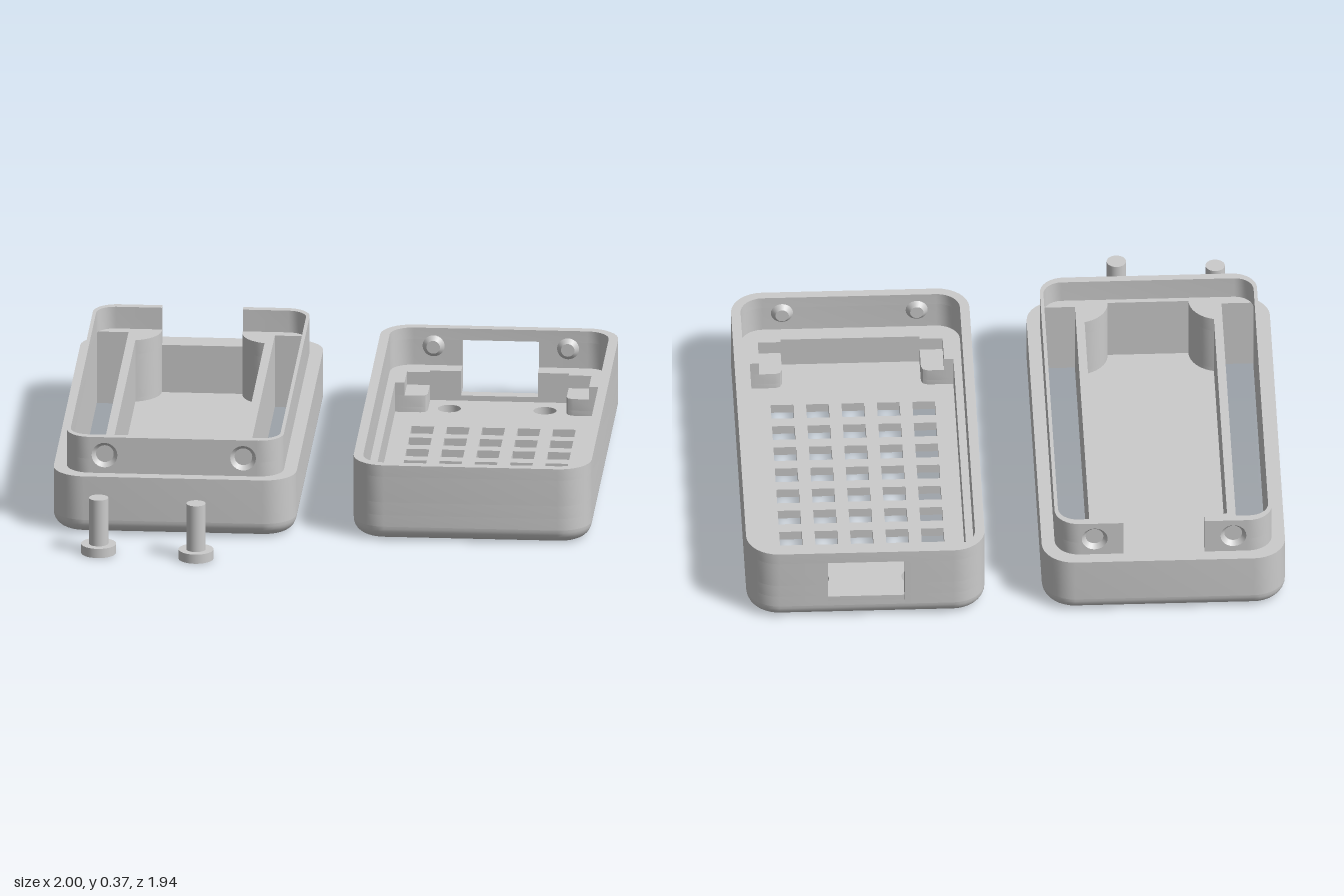
import * as THREE from 'three';
import { toCreasedNormals } from 'three/addons/utils/BufferGeometryUtils.js';

const material = new THREE.MeshStandardMaterial({ color: 0xcccccc });
const openMaterial = new THREE.MeshStandardMaterial({ color: 0xcccccc, side: THREE.DoubleSide });
const BACK = -0.975, FRONT = 0.655, CORNER = 0.12, FILLET = 0.055;

function add(parent, name, geometry, mat = material) {
  const mesh = new THREE.Mesh(geometry, mat);
  mesh.name = name;
  parent.add(mesh);
  return mesh;
}

// Rounded rectangle in x/z, half width w, running from back right round to back left
function roundRect(w, z0, z1, r) {
  const pts = [];
  const centres = [[w - r, z0 + r], [w - r, z1 - r], [r - w, z1 - r], [r - w, z0 + r]];
  centres.forEach(([cx, cz], k) => {
    for (let i = 0; i <= 8; i++) {
      const a = (k - 1 + i / 8) * Math.PI / 2;
      pts.push([cx + r * Math.cos(a), cz + r * Math.sin(a)]);
    }
  });
  return pts;
}

const rect = (x0, x1, z0, z1) => [[x0, z0], [x1, z0], [x1, z1], [x0, z1]];
const circle = (x, z, r) => Array.from({ length: 24 }, (_, i) =>
  [x + r * Math.cos(i * Math.PI / 12), z + r * Math.sin(i * Math.PI / 12)]);

// Completes a contour given for its left half, back to front
const mirrored = (half) => [...half, ...half.map(([x, z]) => [-x, z]).reverse()];

// Wall outline that is open at the back over |x| < gap
const openWall = (outer, gap, zBack, inner) =>
  [[gap, zBack], ...outer, [-gap, zBack], ...inner];

function toShape(points, holes = []) {
  const vec = (list) => list.map(([x, z]) => new THREE.Vector2(x, z));
  const shape = new THREE.Shape(vec(points));
  holes.forEach((h) => shape.holes.push(new THREE.Path(vec(h))));
  return shape;
}

// Horizontal layer between heights y0 and y1
function layer(points, holes, y0, y1) {
  const g = new THREE.ExtrudeGeometry(toShape(points, holes), { depth: y1 - y0, bevelEnabled: false });
  return toCreasedNormals(g.rotateX(Math.PI / 2).translate(0, y1, 0), 0.6);
}

// Rounded lower edge of a shell
function bottomFillet(w) {
  const pos = [], index = [], rows = 8;
  let n = 0;
  for (let j = 0; j <= rows; j++) {
    const a = j / rows * Math.PI / 2;
    const d = FILLET * (1 - Math.sin(a));
    const ring = roundRect(w - d, BACK + d, FRONT - d, CORNER - d);
    n = ring.length;
    ring.forEach(([x, z]) => pos.push(x, FILLET * (1 - Math.cos(a)), z));
  }
  for (let j = 0; j < rows; j++) {
    for (let i = 0; i < n; i++) {
      const a = j * n + i, b = j * n + (i + 1) % n;
      index.push(a, a + n, b, b, a + n, b + n);
    }
  }
  const g = new THREE.BufferGeometry();
  g.setAttribute('position', new THREE.Float32BufferAttribute(pos, 3));
  g.setIndex(index);
  g.computeVertexNormals();
  return g;
}

const insetOutline = (w) =>
  roundRect(w - FILLET, BACK + FILLET, FRONT - FILLET, CORNER - FILLET);

function createTrayHalf() {
  const g = new THREE.Group();
  g.name = 'trayHalf';
  const W = 0.4515, gap = 0.15, lipW = 0.403, lipBack = -0.925, lipFront = 0.61;
  const outer = roundRect(W, BACK, FRONT, CORNER);

  // Tray cavity with a rounded post in each corner
  const arc = Array.from({ length: 11 }, (_, i) => {
    const a = i / 10 * 1.318;
    return [-0.27 + 0.12 * Math.cos(a), 0.12 * Math.sin(a)];
  });
  const cavity = mirrored([
    ...arc.map(([x, z]) => [x, -0.88 + z]),
    ...arc.map(([x, z]) => [x, 0.56 - z]).reverse(),
  ]);
  const slots = [rect(-0.39, -0.272, -0.855, 0.54), rect(0.272, 0.39, -0.855, 0.54)];

  add(g, 'bottomEdge', bottomFillet(W));
  add(g, 'base', layer(insetOutline(W), [...slots, cavity], 0, FILLET));
  add(g, 'trayFloor', layer(cavity, [], 0, 0.04));
  add(g, 'lowerWall', layer(outer, [...slots, cavity], FILLET, 0.225));

  // Raised lip, recessed front and back to take the dimpled panels
  const t = 0.018, px = 0.31;
  const lip = roundRect(lipW, lipBack, lipFront, 0.09);
  const lipOuter = [
    [px, lipBack + t], [px, lipBack], ...lip.slice(0, 18),
    [px, lipFront], [px, lipFront - t], [-px, lipFront - t], [-px, lipFront],
    ...lip.slice(18), [-px, lipBack], [-px, lipBack + t],
  ];
  const rim = roundRect(0.39, -0.895, 0.58, 0.07).reverse();
  const rimInner = [[-gap, -0.895], ...rim, [gap, -0.895]];
  add(g, 'trayLedge', layer(openWall(lipOuter, gap, lipBack + t, cavity), slots, 0.225, 0.28));
  add(g, 'lip', layer(openWall(lipOuter, gap, lipBack + t, rimInner), [], 0.28, 0.365));

  const dimpleX = 0.2575, dimpleY = 0.295;
  const panel = (name, x0, x1, z, xs) => {
    const shape = toShape(rect(x0, x1, 0.225, 0.365), xs.map((x) => circle(x, dimpleY, 0.048)));
    const geo = new THREE.ExtrudeGeometry(shape, { depth: t, bevelEnabled: false });
    add(g, name, toCreasedNormals(geo.translate(0, 0, z), 0.6));
  };
  panel('frontLipPanel', -px, px, lipFront - t, [-dimpleX, dimpleX]);
  panel('backLipTab', -px, -gap, lipBack, [-dimpleX]);
  panel('backLipTab', gap, px, lipBack, [dimpleX]);

  // Conical snap dimples
  for (const x of [-dimpleX, dimpleX]) {
    for (const s of [1, -1]) {
      const z = s > 0 ? lipFront - t / 2 : lipBack + t / 2;
      const cone = new THREE.CylinderGeometry(0.048, 0.033, t, 24, 1, true);
      add(g, 'snapDimple', cone.rotateX(s * Math.PI / 2).translate(x, dimpleY, z), openMaterial);
    }
  }
  g.position.x = -0.5485;
  return g;
}

function createGrilleHalf() {
  const g = new THREE.Group();
  g.name = 'grilleHalf';
  const W = 0.4425, gap = 0.1425;
  const outer = roundRect(W, BACK, FRONT, CORNER);

  // Floor with a grid of square vents and two round holes
  const holes = [circle(-0.18, -0.78, 0.043), circle(0.175, -0.78, 0.043)];
  for (let c = -2; c <= 2; c++) {
    for (let r = 0; r < 7; r++) {
      const x = c * 0.1315, z = -0.527 + r * 0.1315;
      holes.push(rect(x - 0.042, x + 0.042, z - 0.042, z + 0.042));
    }
  }
  add(g, 'bottomEdge', bottomFillet(W));
  add(g, 'ventedFloor', layer(insetOutline(W), holes, 0, 0.035));

  // Cavity around the corner posts, then above their stepped pockets
  const low = mirrored([
    [-gap, -0.875], [-0.258, -0.875], [-0.258, -0.755], [-0.265, -0.737], [-0.283, -0.73],
    [-0.378, -0.73], [-0.378, 0.41], [-0.283, 0.41], [-0.265, 0.417], [-0.258, 0.435], [-0.258, 0.555],
  ]);
  const pocketed = mirrored([
    [-gap, -0.875], [-0.258, -0.875], [-0.258, -0.855], [-0.343, -0.855], [-0.343, -0.73],
    [-0.378, -0.73], [-0.378, 0.41], [-0.343, 0.41], [-0.343, 0.54], [-0.258, 0.54], [-0.258, 0.555],
  ]);
  const upper = roundRect(0.407, -0.94, 0.62, 0.085);
  const upperOpen = [[-gap, -0.94], ...[...upper].reverse(), [gap, -0.94]];

  // Walls, open at the back for the port window
  add(g, 'windowSill', layer(insetOutline(W), [low], 0.035, FILLET));
  add(g, 'cornerPosts', layer(openWall(outer, gap, BACK, low), [], FILLET, 0.1));
  add(g, 'postPockets', layer(openWall(outer, gap, BACK, pocketed), [], 0.1, 0.15));
  add(g, 'upperWall', layer(openWall(outer, gap, BACK, upperOpen), [], 0.15, 0.25));
  add(g, 'topRim', layer(outer, [upper], 0.25, 0.295));

  // Snap bumps inside the end walls
  for (const x of [-0.25, 0.25]) {
    for (const s of [1, -1]) {
      const bump = new THREE.CylinderGeometry(0.025, 0.041, 0.018, 24);
      bump.rotateX(s * Math.PI / 2).translate(x, 0.225, s > 0 ? -0.931 : 0.611);
      add(g, 'snapBump', bump);
    }
  }
  g.position.x = 0.5575;
  return g;
}

// Loose flanged button standing on its head
function createButton(x, z) {
  const g = new THREE.Group();
  g.name = 'button';
  add(g, 'buttonFlange', new THREE.CylinderGeometry(0.065, 0.065, 0.036, 40).translate(0, 0.018, 0));
  add(g, 'buttonStem', new THREE.CylinderGeometry(0.036, 0.036, 0.18, 32).translate(0, 0.125, 0));
  g.position.set(x, 0, z);
  return g;
}

export function createModel() {
  const model = new THREE.Group();
  model.name = 'enclosure';
  model.add(createTrayHalf(), createGrilleHalf(),
    createButton(-0.81, 0.865), createButton(-0.445, 0.905));
  return model;
}
